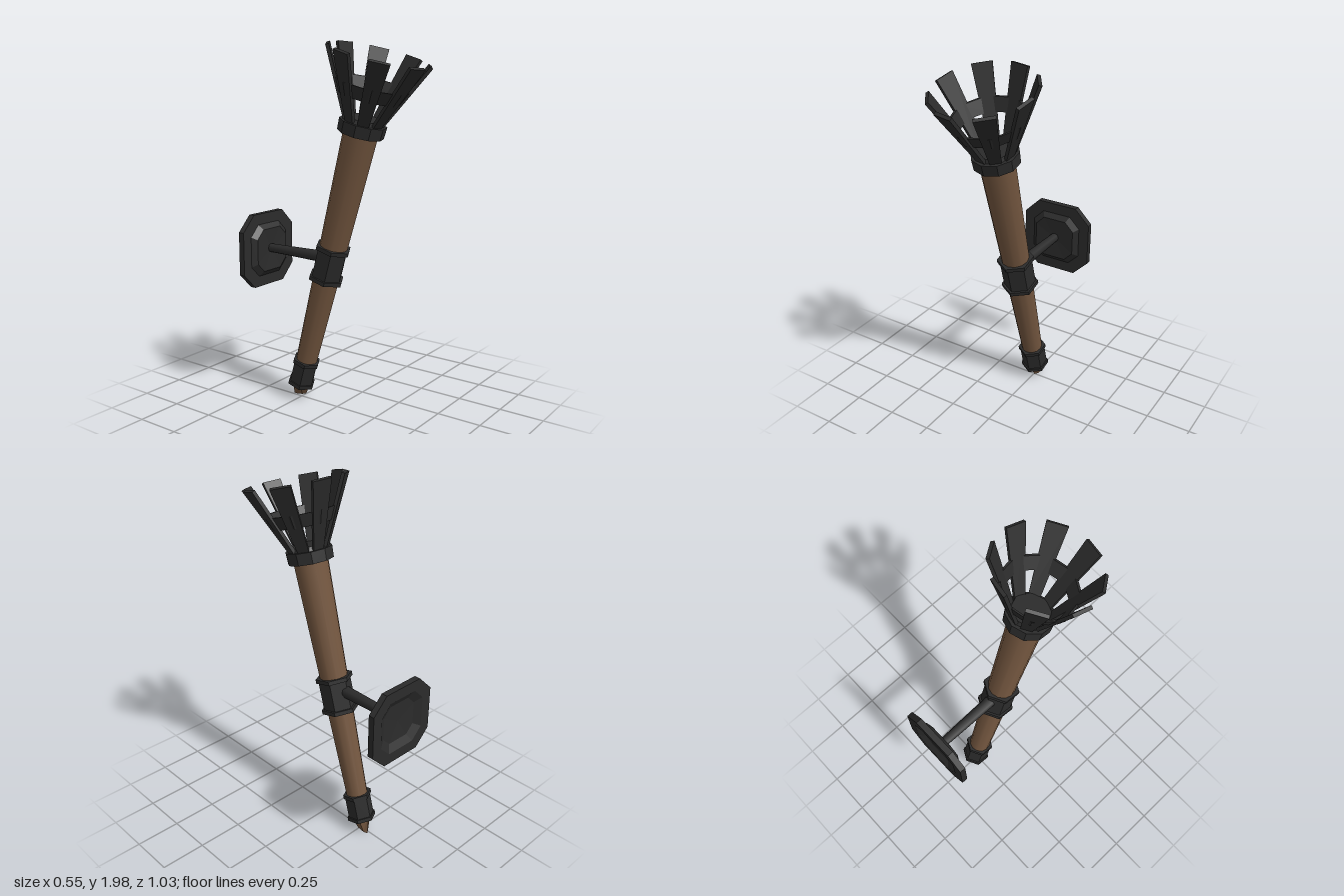
import * as THREE from 'three';

const wood = new THREE.MeshStandardMaterial({ color: 0x73563f });
wood.name = 'wood';
const iron = new THREE.MeshStandardMaterial({ color: 0x2b2b2b });
iron.name = 'iron';

function add(parent, name, geometry, material, y = 0) {
  const mesh = new THREE.Mesh(geometry, material);
  mesh.name = name;
  mesh.position.y = y;
  parent.add(mesh);
  return mesh;
}

// Faceted copy of a geometry
function facet(geometry) {
  const g = geometry.index ? geometry.toNonIndexed() : geometry;
  g.computeVertexNormals();
  return g;
}

// Six-sided sleeve with a flared lip at each end
function sleeve(core, lip, half) {
  const edge = 0.022;
  const profile = [
    [core * 0.6, -half], [lip, -half], [lip, -half + edge], [core, -half + edge],
    [core, half - edge], [lip, half - edge], [lip, half], [core * 0.6, half],
  ].map(([r, y]) => new THREE.Vector2(r, y));
  return facet(new THREE.LatheGeometry(profile, 6));
}

// Surface through square rings with clipped corners: [half size, z]
function clippedLoft(rings) {
  const points = [], index = [];
  for (const [h, z] of rings) {
    const c = h * 0.58;
    for (const [x, y] of [[h, -c], [h, c], [c, h], [-c, h], [-h, c], [-h, -c], [-c, -h], [c, -h]])
      points.push(x, y, z);
  }
  for (let r = 0; r < rings.length - 1; r++) {
    for (let i = 0; i < 8; i++) {
      const a = r * 8 + i, b = r * 8 + (i + 1) % 8;
      index.push(a, b, b + 8, a, b + 8, a + 8);
    }
  }
  const g = new THREE.BufferGeometry();
  g.setAttribute('position', new THREE.Float32BufferAttribute(points, 3));
  g.setIndex(index);
  return facet(g);
}

export function createModel() {
  const model = new THREE.Group();
  model.name = 'wallTorch';

  // Leaning torch, with its origin at the middle sleeve
  const torch = new THREE.Group();
  torch.name = 'torch';
  torch.position.set(0.003, 0.82, -0.053);
  torch.rotation.x = 0.272;
  model.add(torch);

  add(torch, 'shaft', new THREE.CylinderGeometry(0.092, 0.056, 1.5, 12), wood, 0.01);

  // Chiselled wooden tip, narrowed to a ridge
  const tip = new THREE.CylinderGeometry(0.06, 0.06, 0.1, 6);
  const tp = tip.attributes.position;
  for (let i = 0; i < tp.count; i++) {
    if (tp.getY(i) < 0) {
      const z = tp.getZ(i);
      tp.setXYZ(i, tp.getX(i) * 0.2 + 0.012, -0.05 + z * 0.3, z * 0.65 + 0.003);
    }
  }
  add(torch, 'shaftTip', facet(tip), wood, -0.782);

  add(torch, 'lowerSleeve', sleeve(0.072, 0.08, 0.08), iron, -0.68);
  add(torch, 'middleSleeve', sleeve(0.088, 0.101, 0.1), iron, 0.005);

  // Collar under the basket
  add(torch, 'collar', facet(new THREE.CylinderGeometry(0.125, 0.122, 0.062, 10)), iron, 0.768);
  add(torch, 'basketFloor', facet(new THREE.CylinderGeometry(0.1, 0.108, 0.025, 8)), iron, 0.808);

  // Basket of flared slats
  const low = { r: 0.095, y: 0.8 }, high = { r: 0.26, y: 1.145 };
  const length = Math.hypot(high.r - low.r, high.y - low.y);
  const slat = new THREE.BoxGeometry(1, length, 0.018);
  const sp = slat.attributes.position;
  for (let i = 0; i < sp.count; i++) sp.setX(i, sp.getX(i) * (sp.getY(i) > 0 ? 0.105 : 0.058));
  const basket = new THREE.Group();
  basket.name = 'basket';
  basket.rotation.y = -0.19;
  torch.add(basket);
  for (let i = 0; i < 8; i++) {
    const arm = new THREE.Group();
    arm.name = 'slatArm';
    arm.rotation.y = i * Math.PI / 4;
    basket.add(arm);
    const mesh = add(arm, 'slat', slat, iron, (low.y + high.y) / 2);
    mesh.position.z = (low.r + high.r) / 2;
    mesh.rotation.x = Math.atan2(high.r - low.r, high.y - low.y);
  }

  // Hoop joining the slats
  const hoop = [[0.159, 0.93], [0.171, 0.93], [0.204, 0.998], [0.192, 0.998], [0.159, 0.93]]
    .map(([r, y]) => new THREE.Vector2(r, y));
  add(basket, 'hoop', facet(new THREE.LatheGeometry(hoop, 8)), iron);

  // Wall bracket
  const bar = add(model, 'bracketArm', new THREE.CylinderGeometry(0.033, 0.025, 0.4, 8), iron, 0.857);
  bar.rotation.x = Math.PI / 2;
  bar.position.z = -0.275;

  // Stepped wall plate with a shallow hollow back
  const plate = clippedLoft([
    [0, -0.485], [0.11, -0.492], [0.15, -0.515], [0.208, -0.515], [0.208, -0.481],
    [0.148, -0.481], [0.12, -0.457], [0, -0.465],
  ]);
  add(model, 'wallPlate', plate, iron, 0.852);

  return model;
}
